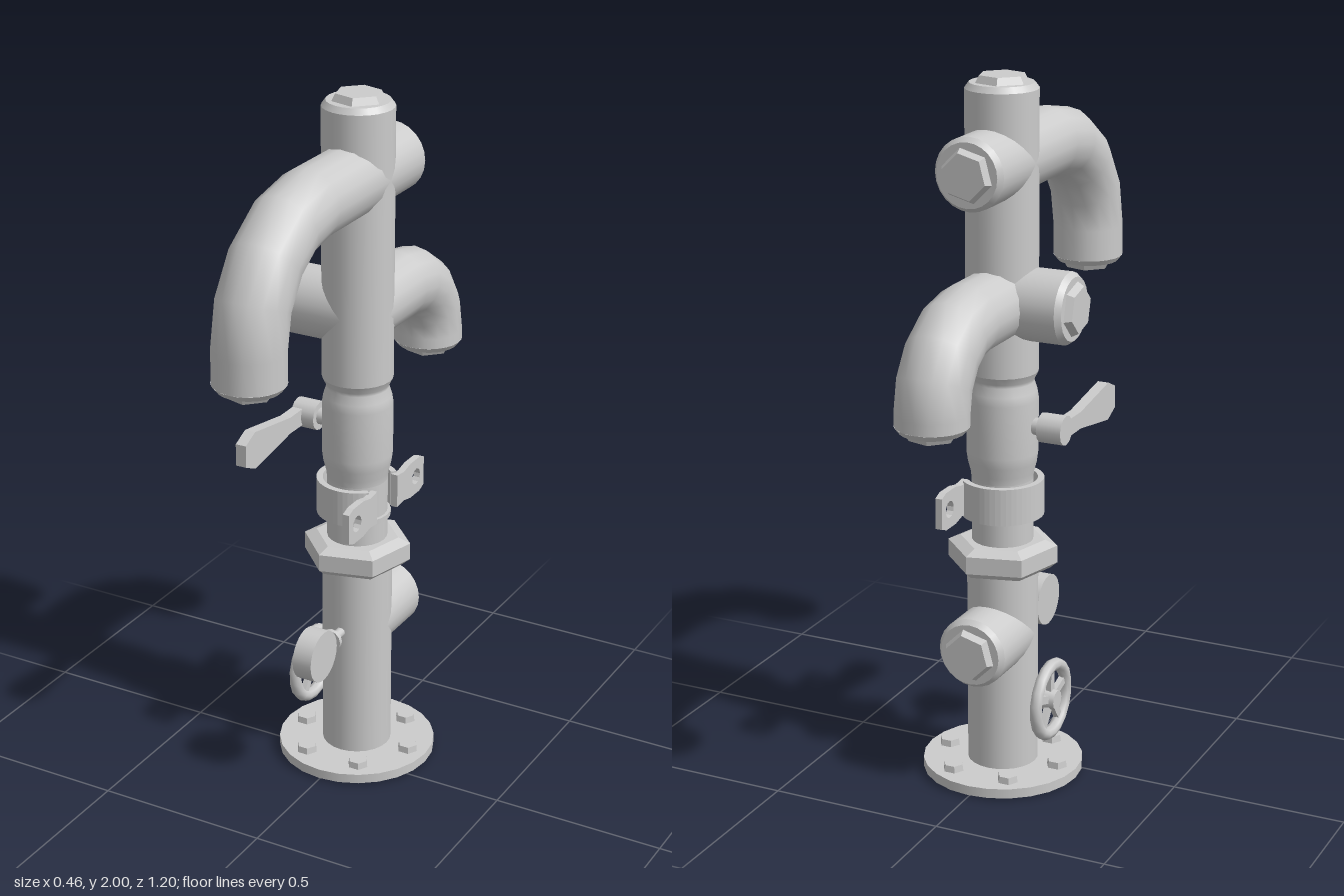
import * as THREE from 'three';

const SEG = 24, R = 0.1, AXIS_Z = -0.076;
const smooth = new THREE.MeshStandardMaterial({ color: 0xcccccc, side: THREE.DoubleSide });
const flat = new THREE.MeshStandardMaterial({ color: 0xcccccc, flatShading: true });

function add(parent, name, geometry, position = [0, 0, 0], rotation = [0, 0, 0], material = smooth) {
  const mesh = new THREE.Mesh(geometry, material);
  mesh.name = name;
  mesh.position.set(...position);
  mesh.rotation.set(...rotation);
  parent.add(mesh);
  return mesh;
}

function subgroup(parent, name, position = [0, 0, 0], rotation = [0, 0, 0]) {
  const g = new THREE.Group();
  g.name = name;
  g.position.set(...position);
  g.rotation.set(...rotation);
  parent.add(g);
  return g;
}

// Cylinder whose base sits at y0 and top at y1
function column(parent, name, y0, y1, r0, r1 = r0, sides = SEG, turn = 0) {
  return add(parent, name, new THREE.CylinderGeometry(r1, r0, y1 - y0, sides),
    [0, (y0 + y1) / 2, 0], [0, turn, 0], sides < 8 ? flat : smooth);
}

function outline(points) {
  return new THREE.Shape(points.map(p => new THREE.Vector2(...p)));
}

// Chamfered pipe end with a hexagonal plug, pointing along local +y from y
function plug(parent, y) {
  column(parent, 'endChamfer', y, y + 0.016, R, 0.088);
  column(parent, 'hexPlug', y + 0.014, y + 0.036, 0.076, 0.064, 6, Math.PI / 12);
}

// Short capped side pipe
function stub(parent, name, y, length, rotation) {
  const g = subgroup(parent, name, [0, y, 0], rotation);
  column(g, 'stubPipe', 0, length, R);
  plug(g, length);
}

// Horizontal pipe that bends downward; runs along local +x
function spout(parent, name, y, straight, bend, endY, turn) {
  const g = subgroup(parent, name, [0, 0, 0], [0, turn, 0]);
  add(g, 'spoutArm', new THREE.CylinderGeometry(R, R, straight, 16), [straight / 2, y, 0], [0, 0, Math.PI / 2]);
  add(g, 'spoutBend', new THREE.TorusGeometry(bend, R, 16, 4, Math.PI / 2), [straight, y - bend, 0]);
  const end = subgroup(g, 'spoutEnd', [straight + bend, endY, 0], [Math.PI, 0, 0]);
  column(end, 'spoutDrop', -(y - bend - endY), 0, R, R, 16);
  plug(end, 0);
}

function buildBase(parent) {
  // Open lower pipe with its round foot flange
  const profile = [[0.088, 0.62], [0.088, 0.005], [0.228, 0.005], [0.228, 0.033], [R, 0.033]];
  for (let i = 0; i < profile.length - 1; i++) {
    add(parent, 'footFlange', new THREE.LatheGeometry(
      [profile[i], profile[i + 1]].map(p => new THREE.Vector2(...p)), SEG));
  }
  add(parent, 'lowerPipe', new THREE.CylinderGeometry(R, R, 0.63, SEG, 1, true), [0, 0.322, 0]);
  for (let i = 0; i < 6; i++) {
    const a = i * Math.PI / 3;
    add(parent, 'flangeBolt', new THREE.CylinderGeometry(0.028, 0.031, 0.02, 6),
      [0.17 * Math.cos(a), 0.042, 0.17 * Math.sin(a)], [0, Math.PI / 6, 0], flat);
    add(parent, 'flangeBoltEnd', new THREE.CylinderGeometry(0.03, 0.03, 0.006, 6),
      [0.17 * Math.cos(a), 0.003, 0.17 * Math.sin(a)], [0, Math.PI / 6, 0], flat);
  }
}

function buildColumn(parent) {
  // Hexagonal union nut
  const turn = -Math.PI / 12;
  column(parent, 'unionNutBottom', 0.618, 0.635, 0.135, 0.155, 6, turn);
  column(parent, 'unionNut', 0.635, 0.685, 0.155, 0.155, 6, turn);
  column(parent, 'unionNutTop', 0.685, 0.7, 0.155, 0.12, 6, turn);
  column(parent, 'neck', 0.69, 0.9, 0.086);
  column(parent, 'neckCollar', 0.765, 0.78, 0.095);
  // Bulging valve body
  const body = [[0.086, 0.88], [0.088, 0.9], [0.096, 0.93], [R, 0.96], [R, 1.11],
    [0.096, 1.135], [0.088, 1.16], [0.09, 1.17], [R, 1.19]];
  add(parent, 'valveBody', new THREE.LatheGeometry(body.map(p => new THREE.Vector2(...p)), SEG));
  column(parent, 'upperPipe', 1.19, 1.965, R);
  plug(parent, 1.965);
}

function buildClamp(parent) {
  const g = subgroup(parent, 'clamp');
  // C-shaped band, open toward +x
  const a = Math.PI / 4, band = new THREE.Shape();
  band.absarc(0, 0, 0.116, a, Math.PI * 2 - a, false);
  band.absarc(0, 0, 0.098, Math.PI * 2 - a, a, true);
  add(g, 'clampBand', new THREE.ExtrudeGeometry(band, { depth: 0.105, bevelEnabled: false, curveSegments: 18 }),
    [0, 0.88, 0], [Math.PI / 2, 0, 0], flat);
  // Two pierced ears
  const ear = outline([[0.06, -0.05], [0.1, -0.045], [0.14, -0.054], [0.195, -0.054], [0.222, -0.044],
    [0.222, 0.044], [0.195, 0.054], [0.14, 0.054], [0.1, 0.045], [0.06, 0.05]]);
  const hole = new THREE.Path();
  hole.absarc(0.175, 0, 0.024, 0, Math.PI * 2, true);
  ear.holes.push(hole);
  const earGeo = new THREE.ExtrudeGeometry(ear, { depth: 0.02, bevelEnabled: false, curveSegments: 6 });
  add(g, 'frontEar', earGeo, [0.096, 0.828, 0], [0, -Math.PI / 2, 0], flat);
  add(g, 'backEar', earGeo, [0.076, 0.828, 0], [0, Math.PI / 2, 0], flat);
}

function buildLever(parent) {
  const g = subgroup(parent, 'lever', [0, 1.04, 0]);
  const hub = subgroup(g, 'leverHub', [0, 0, 0], [0, 0, Math.PI / 2]);
  column(hub, 'leverStem', 0.08, 0.13, 0.024, 0.024, 12);
  column(hub, 'leverNut', 0.12, 0.192, 0.042, 0.042, 12);
  const blade = outline([[0, -0.025], [0.1, -0.024], [0.29, -0.055], [0.34, -0.032],
    [0.34, 0.032], [0.29, 0.055], [0.1, 0.024], [0, 0.025]]);
  add(g, 'leverBlade', new THREE.ExtrudeGeometry(blade, { depth: 0.032, bevelEnabled: false }),
    [-0.159, 0, 0], [0, -Math.PI / 2, 0], flat);
}

function buildHandwheel(parent) {
  // Local +y points to -x
  const g = subgroup(parent, 'handwheel', [0, 0.235, 0], [0, 0, Math.PI / 2]);
  column(g, 'wheelStem', 0.08, 0.15, 0.018, 0.018, 12);
  column(g, 'wheelHub', 0.125, 0.17, 0.034, 0.028, 12);
  add(g, 'wheelRim', new THREE.TorusGeometry(0.101, 0.018, 8, 18), [0, 0.15, 0], [Math.PI / 2, 0, 0]);
  for (let i = 0; i < 5; i++) {
    const arm = subgroup(g, 'wheelSpoke', [0, 0.148, 0], [0, i * Math.PI * 2 / 5, 0]);
    add(arm, 'spokeBar', new THREE.BoxGeometry(0.09, 0.016, 0.022), [0.055, 0, 0], [0, 0, 0], flat);
  }
}

function buildGauge(parent) {
  // Local +y points to +z
  const g = subgroup(parent, 'gauge', [0, 0.425, 0], [Math.PI / 2, 0, 0]);
  column(g, 'gaugeStem', 0.08, 0.19, 0.014, 0.014, 12);
  column(g, 'gaugeNut', 0.146, 0.158, 0.032, 0.032, 12);
  add(g, 'gaugeDial', new THREE.CylinderGeometry(0.075, 0.075, 0.058, SEG), [0, 0.247, 0], [0, 0, Math.PI / 2]);
}

export function createModel() {
  const model = new THREE.Group();
  model.name = 'standpipe';
  const g = subgroup(model, 'assembly', [0, 0, AXIS_Z]);
  buildBase(g);
  buildColumn(g);
  buildClamp(g);
  buildLever(g);
  buildHandwheel(g);
  buildGauge(g);
  // Capped side pipes
  const back = [-Math.PI / 2, 0, 0];
  stub(g, 'upperBackStub', 1.77, 0.196, back);
  stub(g, 'lowerBackStub', 0.425, 0.196, back);
  stub(g, 'rightStub', 1.385, 0.198, [0, 0, Math.PI / 2]);
  // Bent outlets
  spout(g, 'frontSpout', 1.77, 0.275, 0.3, 1.383, -Math.PI / 2);
  spout(g, 'backSpout', 1.385, 0.222, 0.2, 1.155, Math.PI / 2);
  return model;
}
